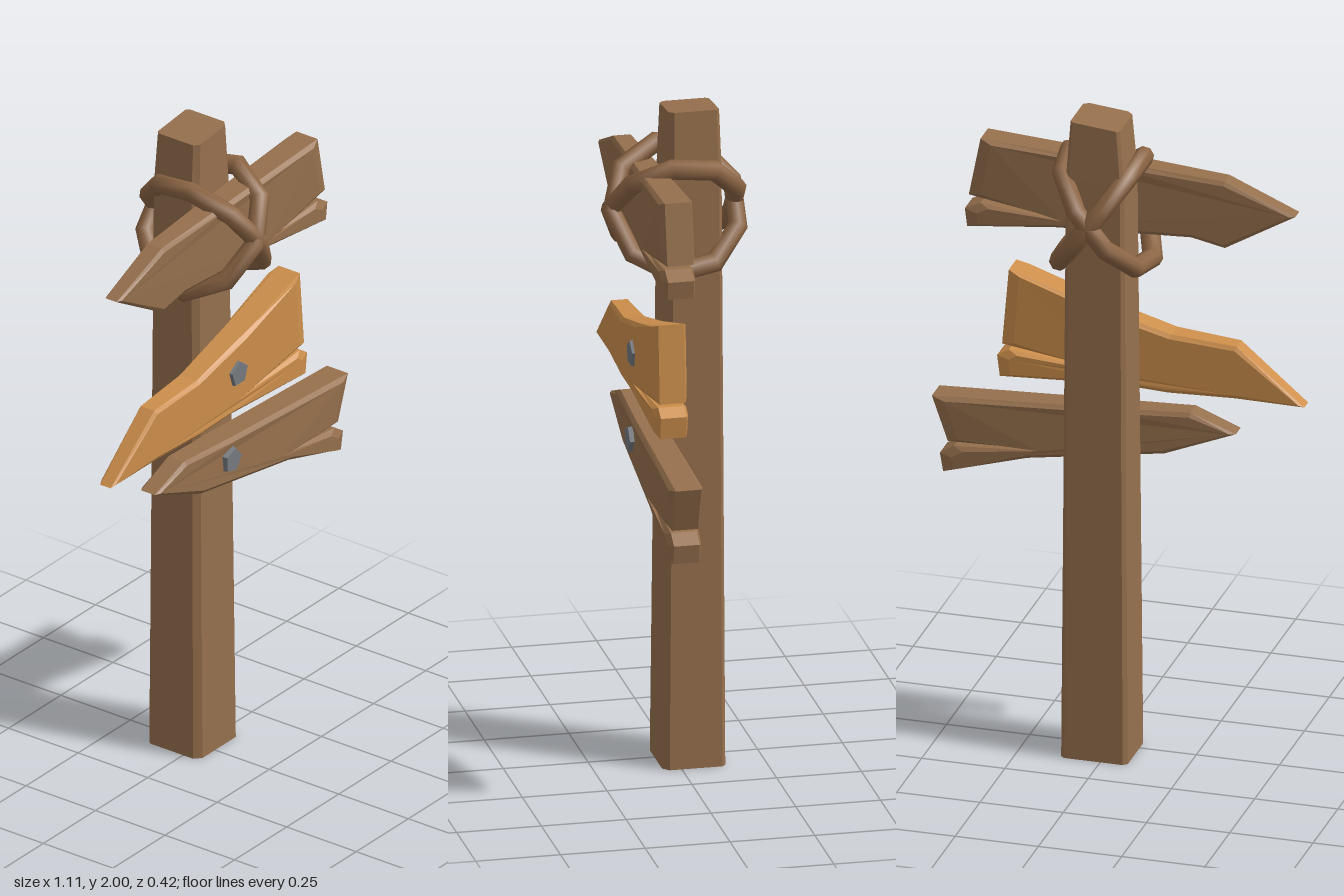
import * as THREE from 'three';

const material = (name, color) => {
  const m = new THREE.MeshStandardMaterial({ color });
  m.name = name;
  return m;
};

const shapeOf = (points) => new THREE.Shape(points.map(([x, y]) => new THREE.Vector2(x, y)));

// Moves every vertex by a rule and recomputes facet normals.
function reshape(geometry, rule) {
  const p = geometry.attributes.position;
  const v = new THREE.Vector3();
  for (let i = 0; i < p.count; i++) {
    rule(v.fromBufferAttribute(p, i));
    p.setXYZ(i, v.x, v.y, v.z);
  }
  geometry.computeVertexNormals();
  return geometry;
}

// Chamfered square post, narrowing towards a slanted top.
function postGeometry() {
  const f = 0.1, b = 0.06; // front and back chamfers on a unit square
  const section = shapeOf([
    [-0.5 + f, -0.5], [0.5 - f, -0.5], [0.5, -0.5 + f], [0.5, 0.5 - b],
    [0.5 - b, 0.5], [-0.5 + b, 0.5], [-0.5, 0.5 - b], [-0.5, -0.5 + f],
  ]);
  const g = new THREE.ExtrudeGeometry(section, { depth: 2, steps: 2, bevelEnabled: false });
  g.rotateX(-Math.PI / 2); // section -y becomes the front
  // y, x centre, width, z centre, depth
  const levels = [
    [0, 0.02, 0.2, -0.038, 0.185],
    [1.82, 0.02, 0.175, -0.043, 0.158],
    [2, 0.021, 0.148, -0.043, 0.148],
  ];
  return reshape(g, (v) => {
    const [y, cx, w, cz, d] = levels[Math.round(v.y)];
    const slant = y === 2 ? (v.x - 0.5) * 0.015 : 0;
    v.set(cx + v.x * w, y + slant, cz + v.z * d);
  });
}

// Bevelled arrow board, thinner towards its tip, with a chamfered split end.
function boardGeometry(outline) {
  const bevel = 0.012, depth = 0.076;
  const g = new THREE.ExtrudeGeometry(shapeOf(outline), {
    depth, bevelEnabled: true, bevelSegments: 1,
    bevelSize: bevel, bevelThickness: bevel, bevelOffset: -bevel,
  });
  g.translate(0, 0, -depth / 2);
  const end = Math.max(...outline.map((p) => p[0]));
  return reshape(g, (v) => {
    const half = Math.min(0.05, 0.044 + 0.034 * v.x);
    const onCap = Math.abs(v.z) > depth / 2 + 0.001;
    if (onCap && v.x > end - 0.09) v.x -= 0.025;
    v.z = 0.078 + (v.z / 0.05) * half;
  });
}

export function createModel() {
  const model = new THREE.Group();
  model.name = 'signpost';
  const wood = material('brown wood', 0x96704d);
  const paleWood = material('orange wood', 0xcd8f4c);
  const ropeColor = material('rope brown', 0x8c6544);
  const iron = material('grey iron', 0x757a80);

  const add = (name, geometry, mat) => {
    const mesh = new THREE.Mesh(geometry, mat);
    mesh.name = name;
    model.add(mesh);
    return mesh;
  };

  add('post', postGeometry(), wood);

  // Boards, outlined counter-clockwise from the tip
  add('topBoard', boardGeometry([
    [-0.53, 1.705], [-0.32, 1.583], [-0.22, 1.605], [0.18, 1.59], [0.45, 1.56],
    [0.457, 1.615], [0.41, 1.638], [0.18, 1.618], [0.445, 1.66], [0.41, 1.84],
    [0, 1.815], [-0.32, 1.792],
  ]), wood);
  add('middleBoard', boardGeometry([
    [-0.557, 1.108], [-0.35, 1.113], [-0.15, 1.108], [0, 1.117], [0.352, 1.1],
    [0.36, 1.165], [0.325, 1.187], [0.03, 1.155], [0.345, 1.203], [0.325, 1.438],
    [0.05, 1.35], [-0.16, 1.292], [-0.355, 1.276],
  ]), paleWood);
  add('bottomBoard', boardGeometry([
    [-0.353, 1.0], [-0.14, 0.915], [0.27, 0.852], [0.522, 0.778],
    [0.532, 0.835], [0.49, 0.862], [0.25, 0.882], [0.508, 0.875], [0.556, 1.012],
    [0, 1.04], [-0.217, 1.052],
  ]), wood);

  // Five-sided bolt heads
  for (const [name, x, y, turn] of [
    ['middleBolt', 0.018, 1.247, Math.PI], ['bottomBolt', -0.012, 0.976, Math.PI / 2 + 0.05],
  ]) {
    const head = new THREE.CylinderGeometry(0.038, 0.045, 0.03, 5).toNonIndexed();
    head.rotateX(Math.PI / 2).rotateZ(turn);
    head.computeVertexNormals();
    add(name, head, iron).position.set(x, y, 0.117);
  }

  // Two rope rings crossing over the top board
  for (const [name, x, angle] of [
    ['risingRope', 0.015, 0.89], ['fallingRope', 0.032, -0.95],
  ]) {
    const ring = new THREE.TorusGeometry(0.195, 0.03, 8, 9);
    ring.rotateZ(Math.PI / 2).rotateX(Math.PI / 2).scale(1.03, 1, 0.96).rotateZ(angle);
    add(name, ring, ropeColor).position.set(x, 1.69, 0);
  }

  return model;
}
